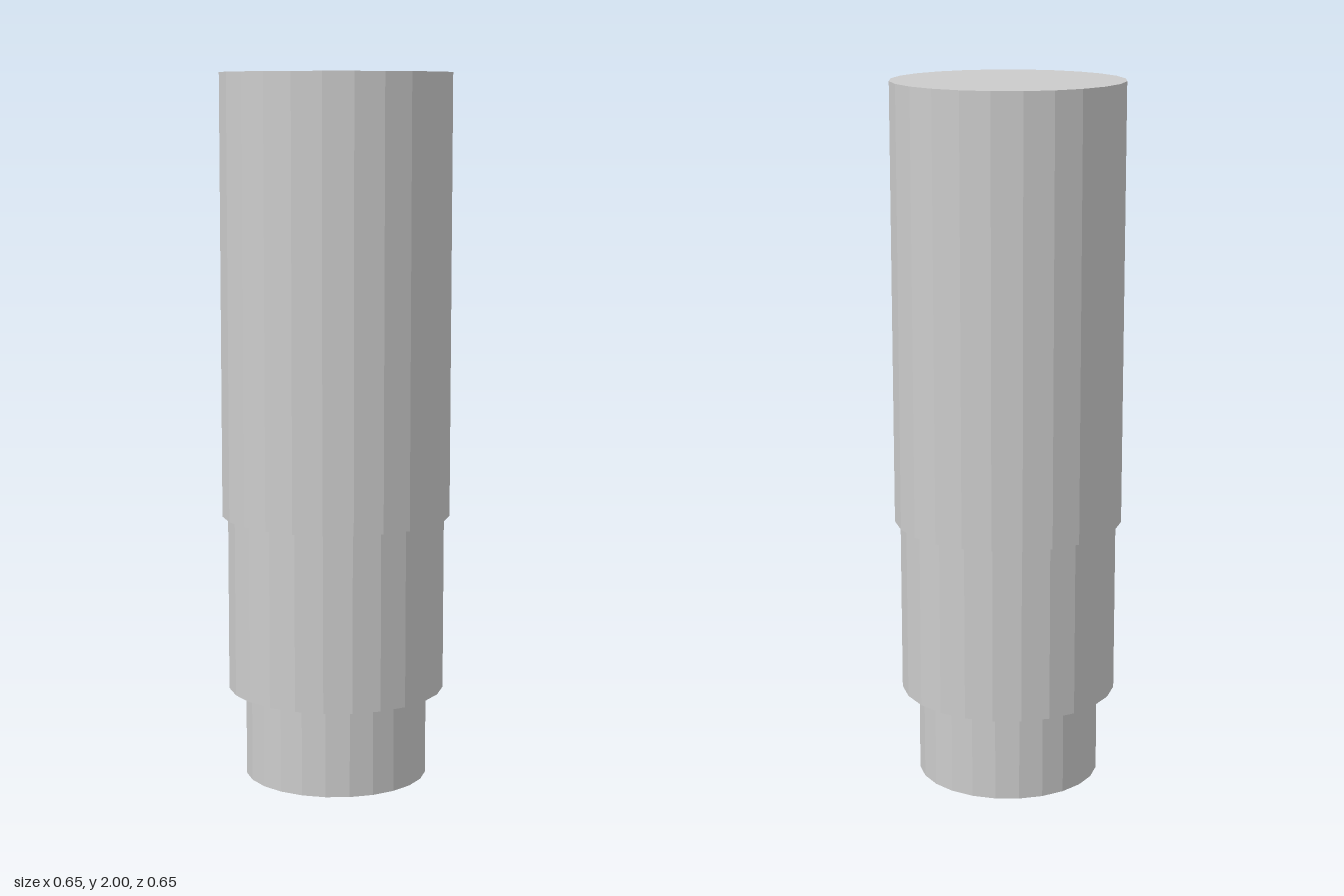
import * as THREE from 'three';

const SIDES = 24;

export function createModel() {
  const model = new THREE.Group();
  model.name = 'steppedCylinder';
  const material = new THREE.MeshStandardMaterial({ color: 0xcccccc, flatShading: true });

  // Stacked sections, from the narrow foot up: name, radius, bottom, top
  const sections = [
    ['foot', 0.26, 0, 0.255],
    ['collar', 0.309, 0.255, 0.757],
    ['body', 0.325, 0.757, 2],
  ];
  for (const [name, radius, bottom, top] of sections) {
    const geometry = new THREE.CylinderGeometry(radius, radius, top - bottom, SIDES);
    const mesh = new THREE.Mesh(geometry, material);
    mesh.name = name;
    mesh.position.y = (bottom + top) / 2;
    model.add(mesh);
  }
  return model;
}
